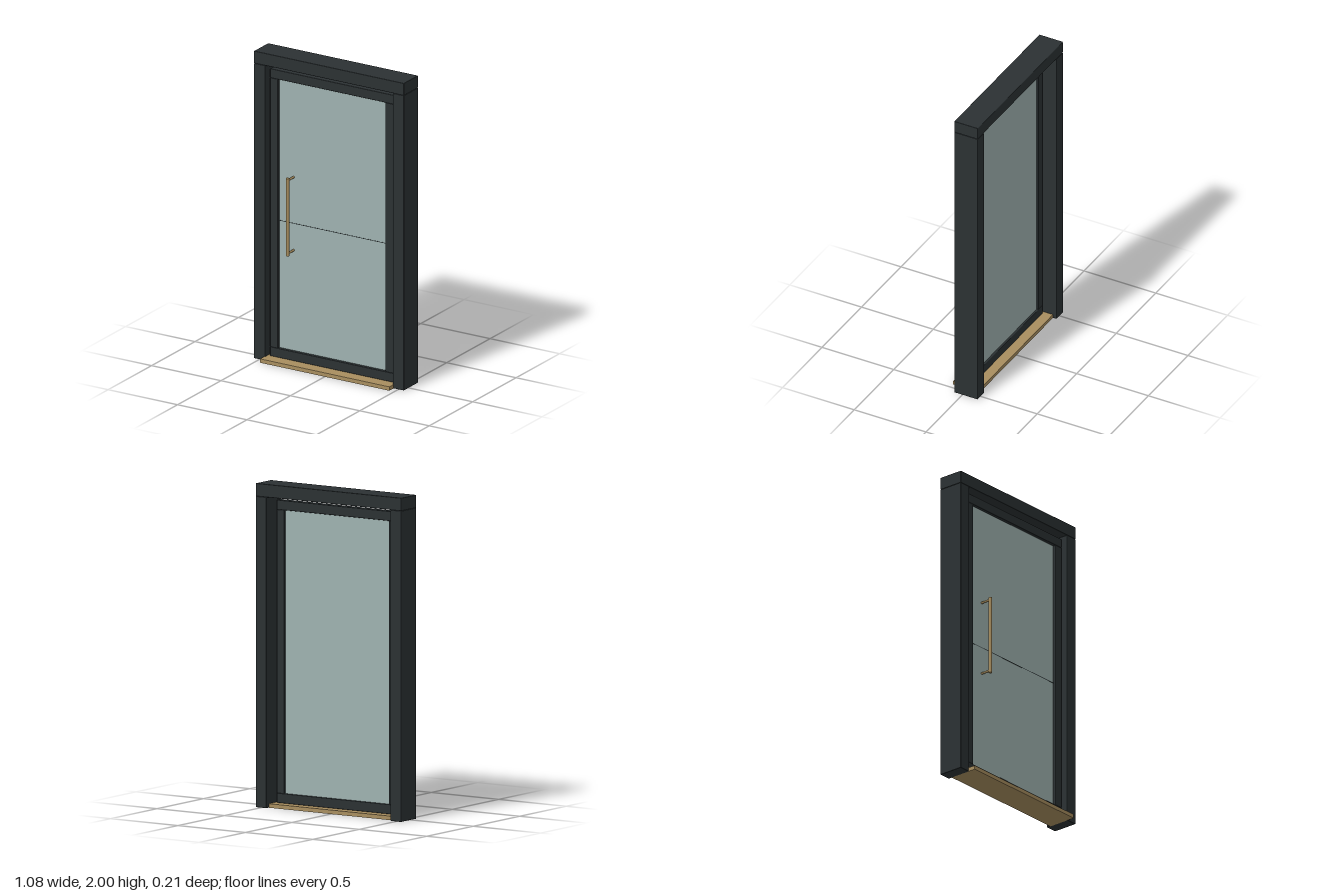
import * as THREE from 'three';
import { RoundedBoxGeometry } from 'three/addons/geometries/RoundedBoxGeometry.js';

const material = (color) => new THREE.MeshStandardMaterial({ color });

export function createModel() {
  const model = new THREE.Group();
  model.name = 'glazedDoor';
  const dark = material(0x2b3133);
  const wood = material(0xa88e5f);
  const glass = material(0x9fb2b0);

  const add = (name, geometry, mat, x, y, z, parent = model) => {
    const mesh = new THREE.Mesh(geometry, mat);
    mesh.name = name;
    mesh.position.set(x, y, z);
    parent.add(mesh);
    return mesh;
  };
  // Softly bevelled beam
  const beam = (w, h, d) => new RoundedBoxGeometry(w, h, d, 2, 0.004);

  // Outer frame: two jambs under a full-width header
  const frameZ = -0.025, frameDepth = 0.164;
  add('header', beam(1.08, 0.08, frameDepth), dark, 0, 1.96, frameZ);
  for (const [side, name] of [[1, 'leftJamb'], [-1, 'rightJamb']])
    add(name, beam(0.08, 1.92, frameDepth), dark, side * 0.5, 0.96, frameZ);

  // Sill projecting to the front
  add('sill', new THREE.BoxGeometry(0.93, 0.025, 0.185), wood, 0, 0.0125, 0.012);

  // Door leaf, with a clear gap to the frame
  const leaf = new THREE.Group();
  leaf.name = 'doorLeaf';
  model.add(leaf);
  const leafZ = 0.004, leafDepth = 0.046;
  add('topRail', beam(0.886, 0.06, leafDepth), dark, 0, 1.865, leafZ, leaf);
  add('bottomRail', beam(0.886, 0.06, leafDepth), dark, 0, 0.055, leafZ, leaf);
  for (const [side, name] of [[1, 'leftStile'], [-1, 'rightStile']])
    add(name, beam(0.056, 1.752, leafDepth), dark, side * 0.415, 0.96, leafZ, leaf);
  add('glassPane', new THREE.BoxGeometry(0.78, 1.755, 0.014), glass, 0, 0.96, 0, leaf);
  add('glazingLine', new THREE.BoxGeometry(0.78, 0.004, 0.002), dark, 0, 0.912, 0.007, leaf);

  // Pull handle: vertical bar on two standoffs
  const handle = new THREE.Group();
  handle.name = 'pullHandle';
  handle.position.set(-0.285, 0.975, 0);
  leaf.add(handle);
  add('handleBar', new THREE.CylinderGeometry(0.011, 0.011, 0.505, 20), wood, 0, 0, 0.077, handle);
  for (const side of [1, -1]) {
    const post = add('handleStandoff', new THREE.CylinderGeometry(0.007, 0.007, 0.07, 14), wood,
      0, side * 0.238, 0.041, handle);
    post.rotation.x = Math.PI / 2;
  }

  return model;
}
